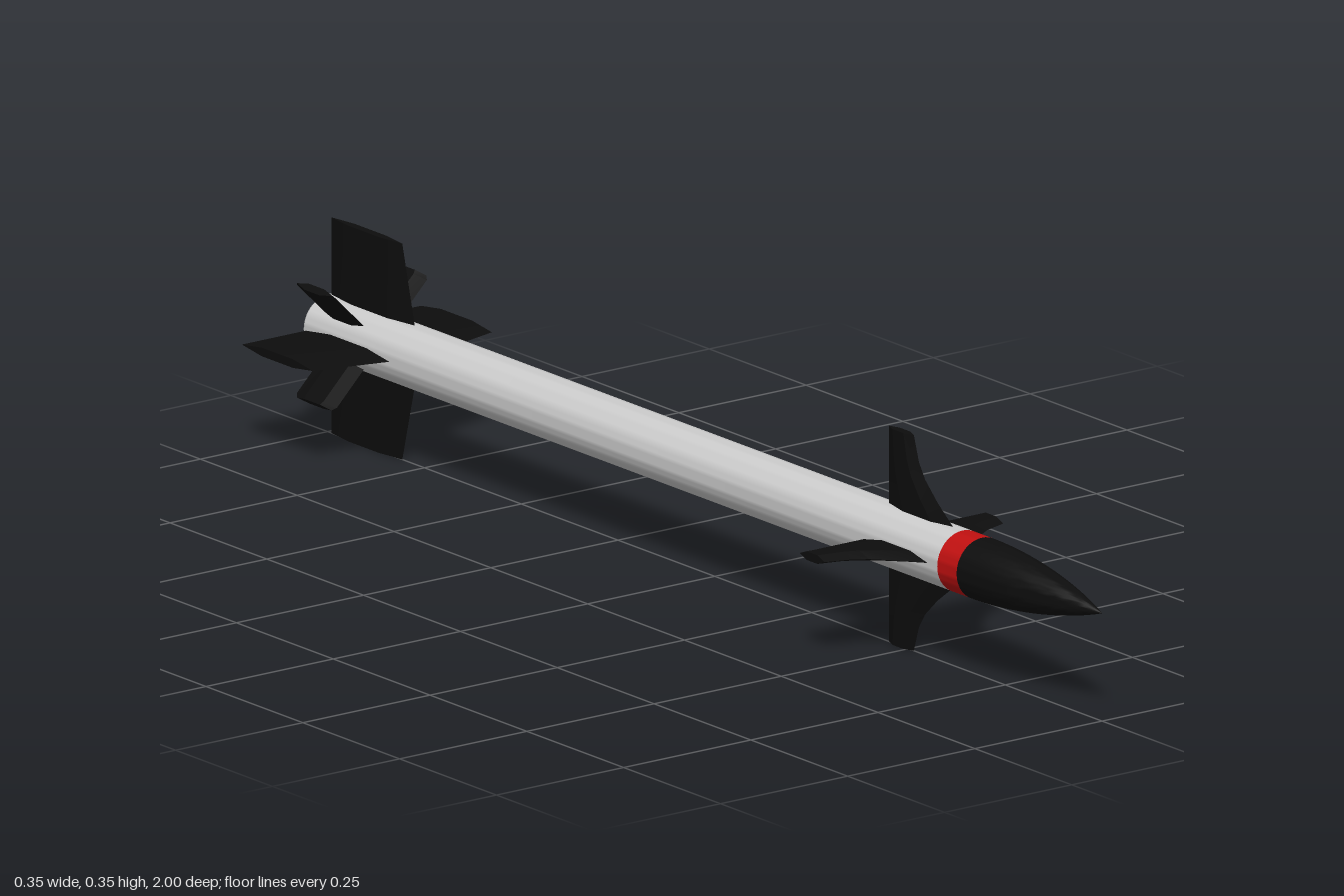
import * as THREE from 'three';
import { toCreasedNormals } from 'three/addons/utils/BufferGeometryUtils.js';

const R = 0.05;        // body radius
const AXIS_Y = 0.176;  // height of the long axis

const grey = new THREE.MeshStandardMaterial({ color: 0xcccccc });
const black = new THREE.MeshStandardMaterial({ color: 0x0d0d0d });
const red = new THREE.MeshStandardMaterial({ color: 0xc01010 });

// Round part from [radius, z] points, turned about the z axis
function turned(name, points, material) {
  const profile = points.map(([r, z]) => new THREE.Vector2(r, z));
  const geometry = new THREE.LatheGeometry(profile, 48).rotateX(Math.PI / 2);
  const mesh = new THREE.Mesh(toCreasedNormals(geometry, 0.5), material);
  mesh.name = name;
  return mesh;
}

// Fin lofted outward along +y from stations [radius, leading z, trailing z, half thickness];
// each section is a six-sided blade with sharp leading and trailing edges
function finGeometry(stations) {
  const positions = [];
  const index = [];
  for (const [r, lead, trail, h] of stations) {
    const at = (u) => lead + (trail - lead) * u;
    for (const [x, u] of [[0, 0], [h, 0.28], [h, 0.72], [0, 1], [-h, 0.72], [-h, 0.28]]) {
      positions.push(x, r, at(u));
    }
  }
  const n = 6;
  for (let s = 0; s < stations.length - 1; s++) {
    for (let i = 0; i < n; i++) {
      const a = s * n + i;
      const b = s * n + (i + 1) % n;
      index.push(a, b, b + n, a, b + n, a + n);
    }
  }
  const top = (stations.length - 1) * n;
  for (let i = 1; i < n - 1; i++) index.push(top, top + i, top + i + 1);
  const geometry = new THREE.BufferGeometry();
  geometry.setAttribute('position', new THREE.Float32BufferAttribute(positions, 3));
  geometry.setIndex(index);
  return toCreasedNormals(geometry, 0.15);
}

// Four copies of a fin around the body
function finSet(name, stations, startAngle) {
  const set = new THREE.Group();
  set.name = name + 's';
  const geometry = finGeometry(stations);
  for (let i = 0; i < 4; i++) {
    const fin = new THREE.Mesh(geometry, black);
    fin.name = name;
    fin.rotation.z = startAngle + i * Math.PI / 2;
    set.add(fin);
  }
  return set;
}

export function createModel() {
  const model = new THREE.Group();
  model.name = 'missile';
  const assembly = new THREE.Group();
  assembly.name = 'airframe';
  assembly.position.y = AXIS_Y;
  model.add(assembly);

  // Body tube with a hollow exhaust nozzle at the back
  assembly.add(turned('body', [
    [0, -0.92], [0.026, -0.92], [0.034, -0.97], [0.04, -1], [0.047, -1], [R, -0.995], [R, 0.64],
  ], grey));

  // Warning band and pointed nose
  assembly.add(turned('band', [[R, 0.64], [R, 0.69]], red));
  const nose = [];
  for (let i = 0; i <= 20; i++) {
    const t = Math.sin(i / 20 * Math.PI / 2);
    nose.push([i === 20 ? 0 : R * (1 - t ** 1.9) ** 0.95, 0.69 + 0.31 * t]);
  }
  assembly.add(turned('noseCone', nose, black));

  // Front fins with a swept, curved leading edge
  assembly.add(finSet('frontFin', [
    [0.03, 0.635, 0.45, 0.009],
    [0.05, 0.615, 0.45, 0.009],
    [0.08, 0.575, 0.45, 0.0085],
    [0.11, 0.543, 0.45, 0.008],
    [0.135, 0.527, 0.45, 0.0075],
    [0.176, 0.514, 0.45, 0.007],
  ], 0));

  // Large tail fins
  assembly.add(finSet('tailFin', [
    [0.03, -0.77, -0.99, 0.008],
    [0.176, -0.807, -0.99, 0.007],
  ], 0));

  // Small diagonal fins between the tail fins
  assembly.add(finSet('diagonalFin', [
    [0.03, -0.86, -0.963, 0.006],
    [0.125, -0.86, -0.963, 0.006],
    [0.132, -0.867, -0.956, 0.006],
  ], Math.PI / 4));

  return model;
}
